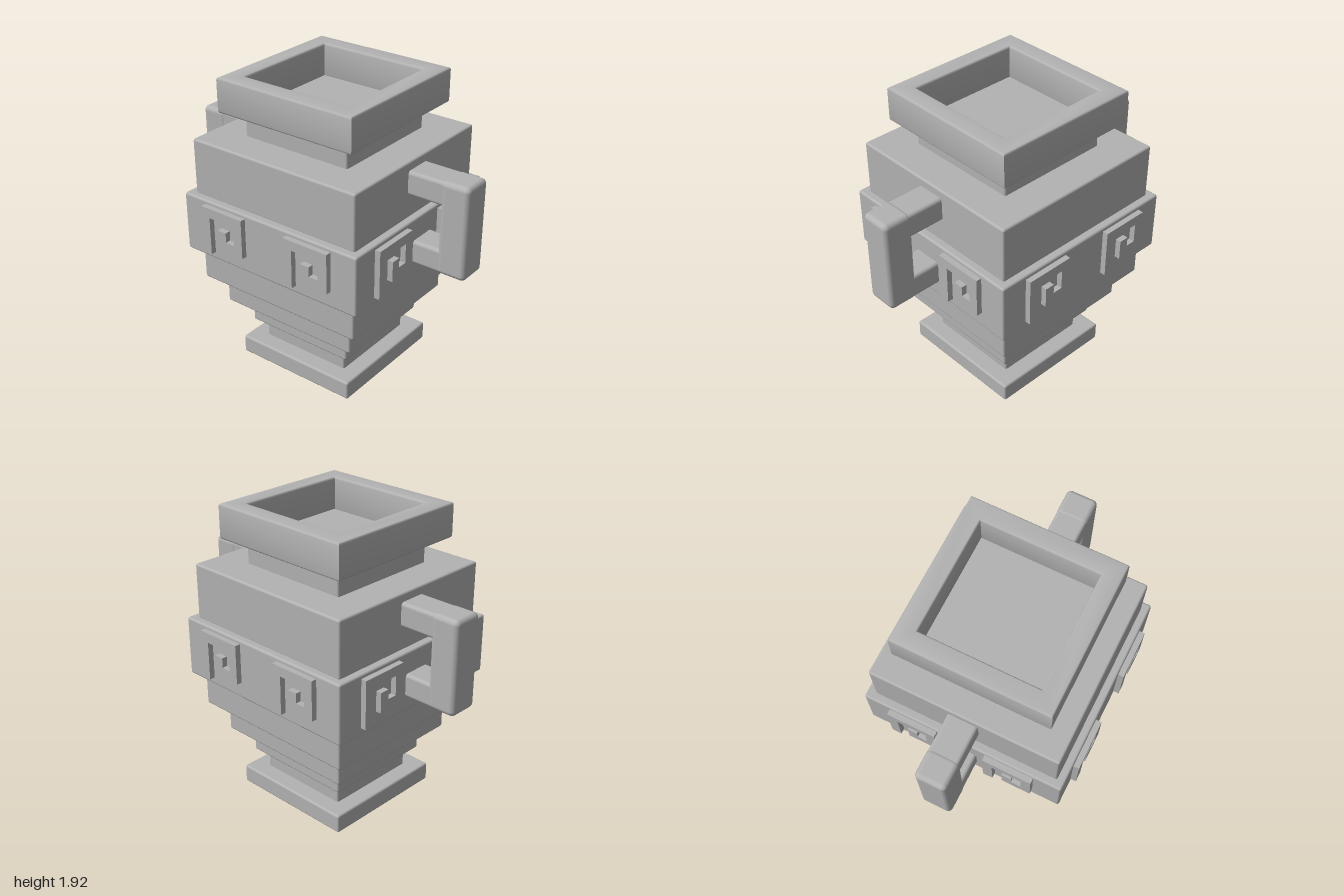
import * as THREE from 'three';
import { toCreasedNormals } from 'three/addons/utils/BufferGeometryUtils.js';
import { RoundedBoxGeometry } from 'three/addons/geometries/RoundedBoxGeometry.js';

const stone = new THREE.MeshStandardMaterial({ color: 0xb3b3b3 });
stone.name = 'grey stone';

function add(parent, name, geometry, x = 0, y = 0, z = 0) {
  const mesh = new THREE.Mesh(geometry, stone);
  mesh.name = name;
  mesh.position.set(x, y, z);
  parent.add(mesh);
  return mesh;
}

// Softened box given by its x, y and z limits
function block(parent, name, [x0, x1], [y0, y1], [z0, z1], radius) {
  const geometry = new RoundedBoxGeometry(x1 - x0, y1 - y0, z1 - z0, 3, radius);
  return add(parent, name, geometry, (x0 + x1) / 2, (y0 + y1) / 2, (z0 + z1) / 2);
}

function squarePoints(h) {
  return [[-h, -h], [h, -h], [h, h], [-h, h]].map(([x, y]) => new THREE.Vector2(x, y));
}

// Hollow square rim with a small bevel
function rimGeometry(outer, inner, height, bevel) {
  const shape = new THREE.Shape(squarePoints(outer - bevel));
  shape.holes.push(new THREE.Path(squarePoints(inner + bevel / 3).reverse()));
  const geometry = new THREE.ExtrudeGeometry(shape, {
    depth: height - 2 * bevel, bevelEnabled: true,
    bevelSize: bevel, bevelThickness: bevel, bevelSegments: 3,
  });
  geometry.translate(0, 0, bevel).rotateX(-Math.PI / 2);
  return toCreasedNormals(geometry, 0.7);
}

// Square spiral relief, drawn on a 5 by 5 grid
function meanderGeometry(depth) {
  const cell = 0.063;
  const points = [[0, 0], [0, 5], [5, 5], [5, 0.9], [2, 0.9], [2, 3],
    [3, 3], [3, 2], [4, 2], [4, 4], [1, 4], [1, 0]];
  const shape = new THREE.Shape(points.map(([x, y]) => new THREE.Vector2(x * cell, y * cell * 0.985)));
  return new THREE.ExtrudeGeometry(shape, { depth, bevelEnabled: false });
}

export function createModel() {
  const vase = new THREE.Group();
  vase.name = 'vase';

  // Stacked square tiers: name, bottom, top, half width
  const tiers = [
    ['foot', 0.005, 0.127, 0.425],
    ['stem', 0.11, 0.26, 0.314],
    ['lowerTier', 0.25, 0.412, 0.376],
    ['middleTier', 0.41, 0.605, 0.486],
    ['upperTier', 0.6, 0.82, 0.582],
    ['belly', 0.817, 1.2, 0.647],
    ['shoulder', 1.19, 1.55, 0.598],
    ['neck', 1.53, 1.715, 0.376],
  ];
  for (const [name, y0, y1, h] of tiers) {
    block(vase, name, [-h, h], [y0, y1], [-h, h], 0.014);
  }
  add(vase, 'rim', rimGeometry(0.486, 0.376, 0.22, 0.014), 0, 1.703, 0);

  // Two spiral reliefs on each side of the belly
  const meander = meanderGeometry(0.045);
  for (let side = 0; side < 4; side++) {
    const face = new THREE.Group();
    face.name = 'meanderPair';
    face.rotation.y = side * Math.PI / 2;
    for (const x of [-0.476, 0.154]) add(face, 'meander', meander, x, 0.866, 0.638);
    vase.add(face);
  }

  // Square loop handles, the second one turned half way round
  for (const [name, turn] of [['leftHandle', 0], ['rightHandle', Math.PI]]) {
    const handle = new THREE.Group();
    handle.name = name;
    handle.rotation.y = turn;
    block(handle, 'upperArm', [0.55, 0.96], [1.345, 1.497], [-0.096, 0.096], 0.022);
    block(handle, 'lowerArm', [0.58, 0.96], [0.913, 1.063], [-0.096, 0.096], 0.022);
    block(handle, 'grip', [0.813, 1], [0.908, 1.502], [-0.1, 0.1], 0.032);
    vase.add(handle);
  }
  return vase;
}
